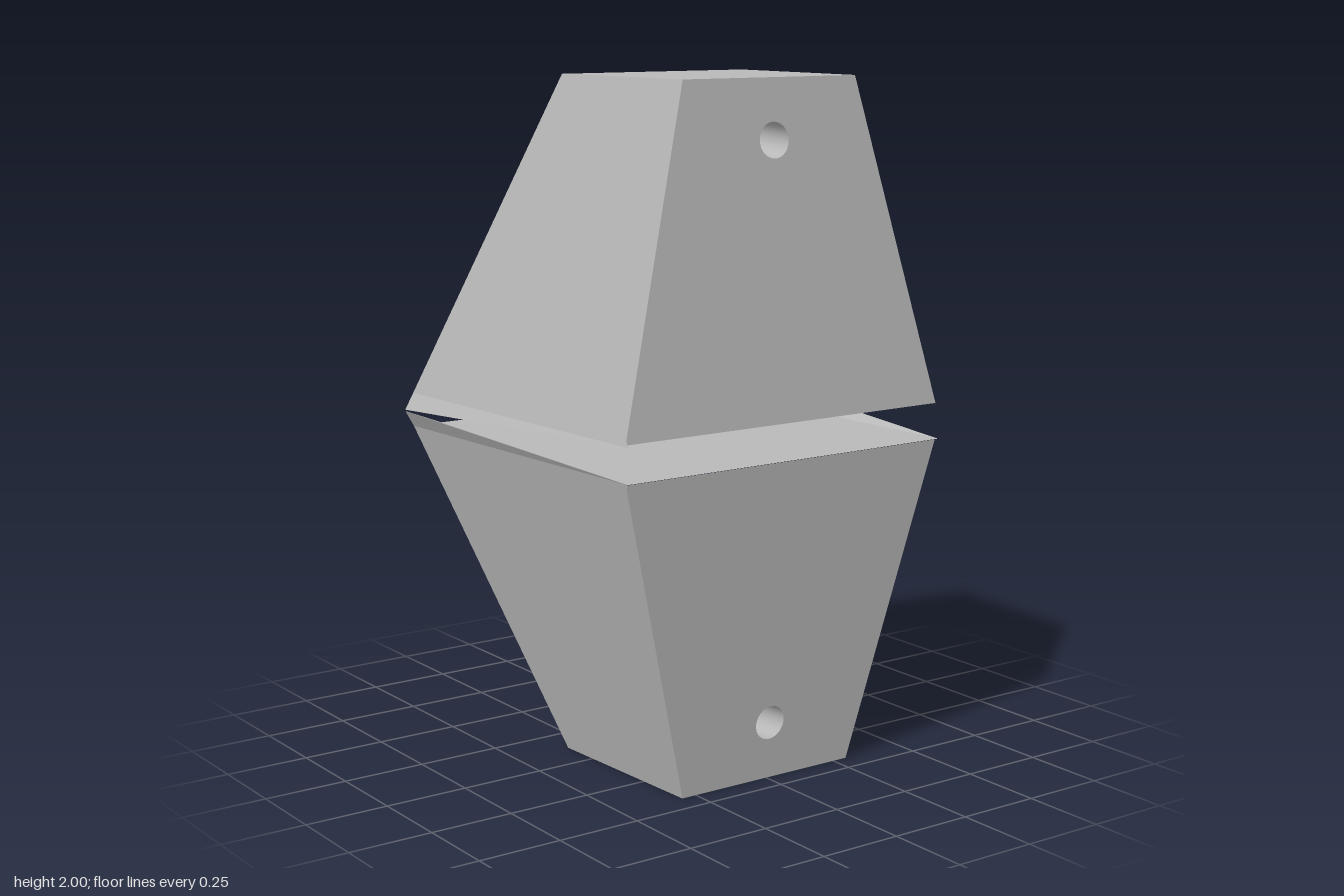
import * as THREE from 'three';

const grey = new THREE.MeshStandardMaterial({ color: 0xb8b8b8 });
grey.name = 'plainGrey';

// Corners of the upper block on its +z side
const topL = [-0.125, 2, 0.32], topR = [0.43, 2, 0.297];
const rimR = [0.518, 1.054, 0.545], lipR = [0.53, 1.05, 0.547];
const rimL = [-0.535, 1.05, 0.595];
const hinge = [-0.535, 1.002, 0.623], inner = [-0.535, 1.05, 0.5];
const flip = ([x, y, z]) => [x, y, -z];
const CENTRE = new THREE.Vector3(0, 1.5, 0);

// Flat polygons, each turned to face away from the block's centre
function facets(polygons) {
  const out = [];
  for (const poly of polygons) {
    const p = poly.map((c) => new THREE.Vector3(...c));
    for (let i = 1; i < p.length - 1; i++) {
      const [a, b, c] = [p[0], p[i], p[i + 1]];
      const n = b.clone().sub(a).cross(c.clone().sub(a));
      const outward = n.dot(a.clone().sub(CENTRE)) > 0;
      for (const v of outward ? [a, b, c] : [a, c, b]) out.push(v.x, v.y, v.z);
    }
  }
  const g = new THREE.BufferGeometry();
  g.setAttribute('position', new THREE.Float32BufferAttribute(out, 3));
  g.computeVertexNormals();
  return g;
}

// Sloping end walls: x follows from y
const xAt = (top, low) => (y) => top[0] + ((2 - y) / (2 - low[1])) * (low[0] - top[0]);
const rightX = xAt(topR, rimR), leftX = xAt(topL, rimL);
const RADIUS = 0.05, SIDES = 32;
const holeRing = (y, x) => Array.from({ length: SIDES }, (_, i) => {
  const a = (i / SIDES) * Math.PI * 2;
  const py = y + RADIUS * Math.sin(a);
  return [x(py), py, RADIUS * Math.cos(a)];
});
const rightRing = holeRing(1.83, rightX), leftRing = holeRing(1.865, leftX);

function endWall(top, low, ring, x) {
  const toShape = (c) => new THREE.Vector2(c[2], c[1]);
  const shape = new THREE.Shape([flip(low), low, top, flip(top)].map(toShape));
  shape.holes.push(new THREE.Path(ring.map(toShape)));
  const g = new THREE.ShapeGeometry(shape).toNonIndexed();
  const p = g.attributes.position;
  const tris = [];
  for (let i = 0; i < p.count; i += 3) {
    tris.push([0, 1, 2].map((k) => [x(p.getY(i + k)), p.getY(i + k), p.getX(i + k)]));
  }
  return facets(tris);
}

// Bore running through the block between the two end walls
function boreGeometry() {
  const pos = [], index = [];
  for (let i = 0; i < SIDES; i++) {
    const j = (i + 1) % SIDES;
    pos.push(...leftRing[i], ...rightRing[i]);
    index.push(2 * i, 2 * j, 2 * i + 1, 2 * j, 2 * j + 1, 2 * i + 1);
  }
  const g = new THREE.BufferGeometry();
  g.setAttribute('position', new THREE.Float32BufferAttribute(pos, 3));
  g.setIndex(index);
  g.computeVertexNormals();
  // Turn the wall to face the axis of the bore
  const n = g.attributes.normal;
  if (n.getZ(0) > 0) {
    g.setIndex(index.reverse());
    g.computeVertexNormals();
  }
  return g;
}

function makeHalf(name) {
  const half = new THREE.Group();
  half.name = name;
  const add = (part, geometry) => {
    const m = new THREE.Mesh(geometry, grey);
    m.name = part;
    half.add(m);
  };
  add('cap', facets([[topL, topR, flip(topR), flip(topL)]]));
  add('base', facets([[inner, lipR, flip(lipR), flip(inner)]]));
  add('lip', facets([[rimR, lipR, flip(lipR), flip(rimR)]]));
  const side = [topL, topR, rimR, lipR, rimL];
  add('sideWalls', facets([side, side.map(flip)]));
  // Thin wedges that reach the hinge points
  const wedge = [[rimL, lipR, hinge], [rimL, hinge, inner], [hinge, lipR, inner]];
  add('hingeWedges', facets([...wedge, ...wedge.map((f) => f.map(flip))]));
  add('rightWall', endWall(topR, rimR, rightRing, rightX));
  add('leftWall', endWall(topL, rimL, leftRing, leftX));
  add('bore', boreGeometry());
  return half;
}

export function createModel() {
  const model = new THREE.Group();
  model.name = 'splitBlock';
  const upper = makeHalf('upperHalf');
  const lower = makeHalf('lowerHalf');
  lower.rotation.x = Math.PI;
  lower.position.y = 2;
  model.add(upper, lower);
  return model;
}
